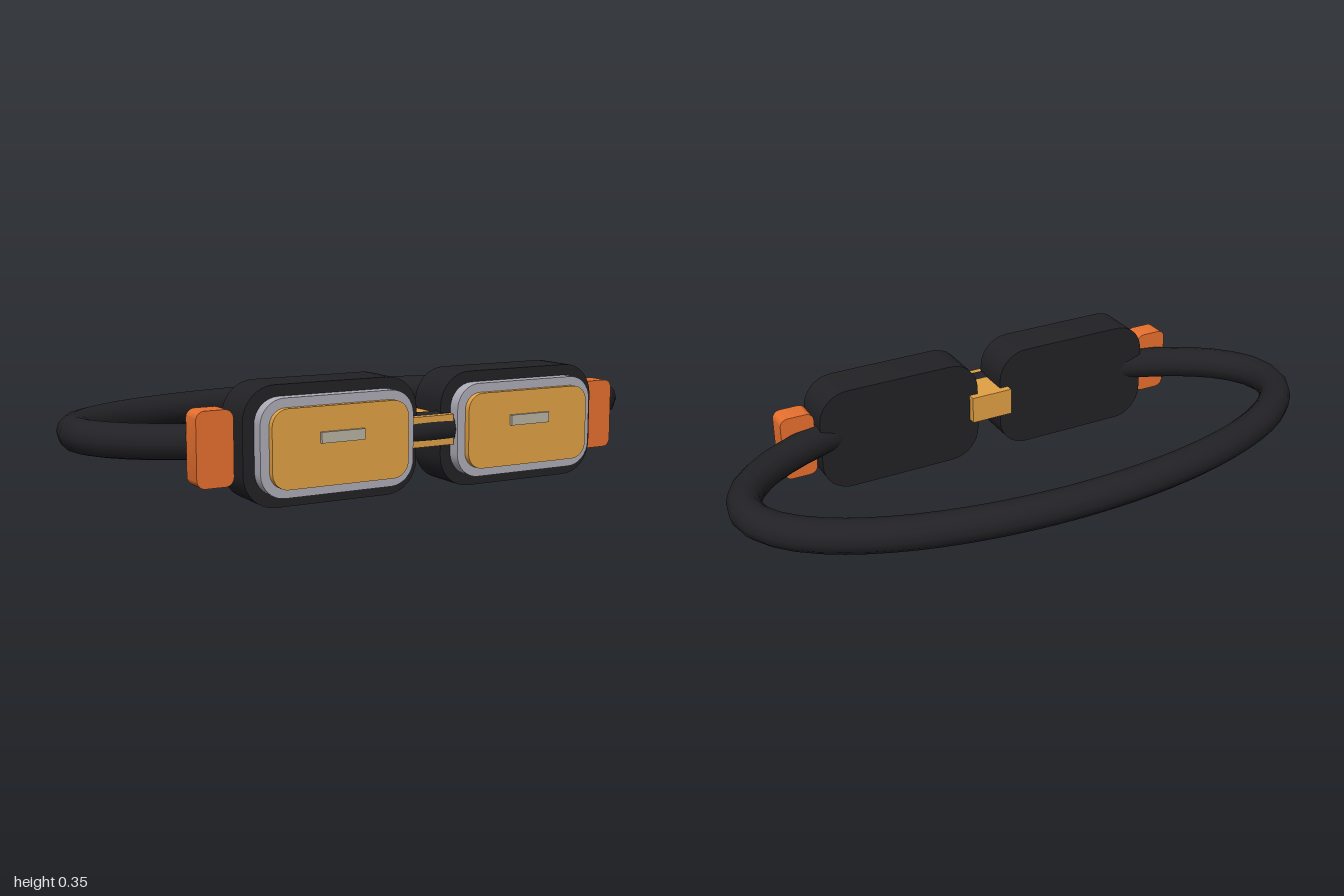
import * as THREE from 'three';
import { toCreasedNormals } from 'three/addons/utils/BufferGeometryUtils.js';

const material = (color) => new THREE.MeshStandardMaterial({ color });
const black = material(0x222226);
const silver = material(0xaeadb8);
const gold = material(0xe3a144);
const orange = material(0xe8702f);
const plate = material(0xb9b3a4);

// Rounded rectangle in xy, extruded from z0 to z1
function roundedSlab(name, w, h, r, z0, z1, mat) {
  const x = w / 2, y = h / 2;
  const shape = new THREE.Shape();
  shape.absarc(x - r, y - r, r, 0, Math.PI / 2);
  shape.absarc(-x + r, y - r, r, Math.PI / 2, Math.PI);
  shape.absarc(-x + r, -y + r, r, Math.PI, Math.PI * 1.5);
  shape.absarc(x - r, -y + r, r, Math.PI * 1.5, Math.PI * 2);
  shape.closePath();
  const geometry = new THREE.ExtrudeGeometry(shape, {
    depth: z1 - z0, bevelEnabled: false, curveSegments: 4,
  });
  geometry.translate(0, 0, z0);
  const mesh = new THREE.Mesh(toCreasedNormals(geometry, 0.9), mat);
  mesh.name = name;
  return mesh;
}

function box(name, w, h, d, x, y, z, mat) {
  const mesh = new THREE.Mesh(new THREE.BoxGeometry(w, h, d), mat);
  mesh.name = name;
  mesh.position.set(x, y, z);
  return mesh;
}

// Horizontal elliptical loop for the head strap
class StrapCurve extends THREE.Curve {
  getPoint(t, target = new THREE.Vector3()) {
    const a = t * Math.PI * 2;
    return target.set(0.947 * Math.cos(a), 0.185, -0.02 + 0.41 * Math.sin(a));
  }
}

export function createModel() {
  const model = new THREE.Group();
  model.name = 'goggles';

  // Strap runs all the way round, through both housings
  const strap = new THREE.Mesh(new THREE.TubeGeometry(new StrapCurve(), 64, 0.053, 12, true), black);
  strap.name = 'strap';
  model.add(strap);

  const front = new THREE.Group();
  front.name = 'frontAssembly';
  front.position.x = -0.003;
  model.add(front);

  for (const [side, s] of [['left', 1], ['right', -1]]) {
    // Eyepiece: housing, rim, lens and small front plate
    const eye = new THREE.Group();
    eye.name = side + 'Eyepiece';
    eye.position.set(s * 0.325, 0.178, 0);
    eye.add(
      roundedSlab('housing', 0.565, 0.352, 0.1, 0.265, 0.41, black),
      roundedSlab('rim', 0.495, 0.285, 0.075, 0.4, 0.45, silver),
      roundedSlab('lens', 0.44, 0.23, 0.05, 0.44, 0.47, gold),
      box('lensPlate', 0.14, 0.032, 0.02, 0, 0.026, 0.47, plate),
    );
    front.add(eye);

    // Strap buckle at the outer edge
    const buckle = roundedSlab(side + 'Buckle', 0.113, 0.22, 0.026, 0.295, 0.368, orange);
    buckle.position.set(s * 0.672, 0.178, 0);
    front.add(buckle);
  }

  // Nose bridge block around the strap
  front.add(box('noseBridge', 0.146, 0.092, 0.195, 0, 0.185, 0.3375, gold));
  return model;
}
